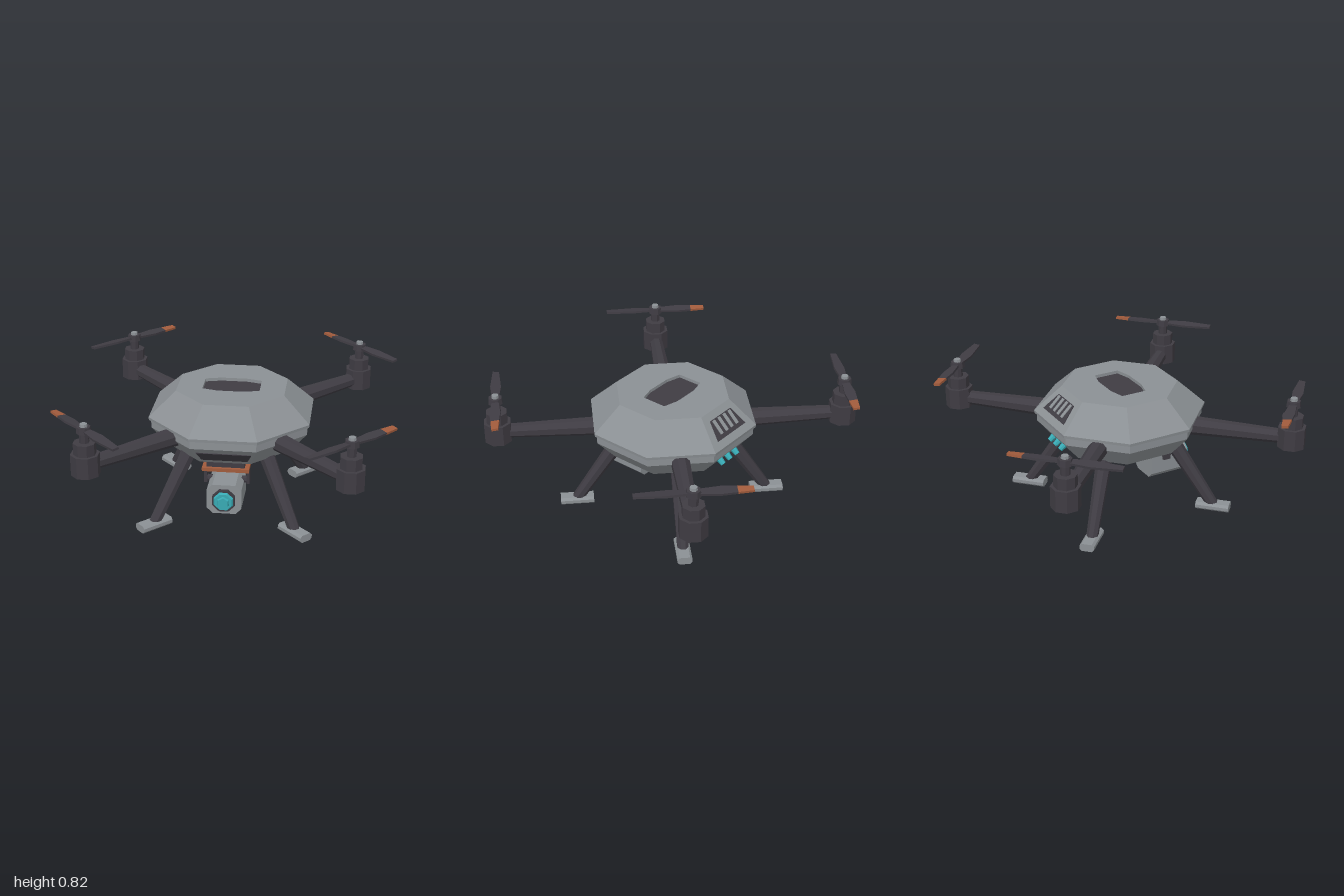
import * as THREE from 'three';

const paint = (name, color) => {
  const m = new THREE.MeshStandardMaterial({ color, flatShading: true });
  m.name = name;
  return m;
};

export function createModel() {
  const grey = paint('shell grey', 0x8b9094);
  const dark = paint('charcoal', 0x3f3c43);
  const orange = paint('copper orange', 0xa15b3c);
  const teal = paint('lens teal', 0x38aab4);

  const model = new THREE.Group();
  model.name = 'quadcopter';

  const add = (name, geo, mat, x = 0, y = 0, z = 0, parent = model) => {
    const m = new THREE.Mesh(geo, mat);
    m.name = name;
    m.position.set(x, y, z);
    parent.add(m);
    return m;
  };
  const group = (name, x, y, z, parent = model) => {
    const g = new THREE.Group();
    g.name = name;
    g.position.set(x, y, z);
    parent.add(g);
    return g;
  };
  const K = Math.cos(Math.PI / 8);
  // Octagonal frustum measured across its flats, from y0 to y1
  const octa = (a0, y0, a1, y1, open = false) =>
    new THREE.CylinderGeometry(a1 / K, a0 / K, y1 - y0, 8, 1, open)
      .rotateY(Math.PI / 8).translate(0, (y0 + y1) / 2, 0);
  const shapeOf = pts => new THREE.Shape(pts.map(p => new THREE.Vector2(p[0], p[1])));
  const extrude = (shape, depth) => new THREE.ExtrudeGeometry(shape, { depth, bevelEnabled: false });
  // Bar with chamfered corners, lying along z and centred
  const chamferBar = (w, h, c, len) => {
    const x = w / 2, y = h / 2;
    return extrude(shapeOf([[c - x, -y], [x - c, -y], [x, c - y], [x, y - c],
      [x - c, y], [c - x, y], [-x, y - c], [-x, c - y]]), len).translate(0, 0, -len / 2);
  };
  // Tapered eight-sided strut from a to b
  const strut = (name, a, b, r0, r1) => {
    const d = new THREE.Vector3().subVectors(b, a);
    const geo = new THREE.CylinderGeometry(r1, r0, d.length(), 8)
      .rotateY(Math.PI / 8).rotateX(Math.PI / 2).translate(0, 0, d.length() / 2);
    add(name, geo, dark, a.x, a.y, a.z).lookAt(b);
  };
  // Group lying on a sloped face, local z pointing outward
  const onFace = (name, y, z, ny, nz) => {
    const g = group(name, 0, y, z);
    g.lookAt(0, y + ny, z + nz);
    return g;
  };

  // Body shells
  add('upperShell', octa(0.49, 0.63, 0.33, 0.785, true), grey);
  add('shellLip', octa(0.488, 0.612, 0.49, 0.63), grey);
  add('lowerBand', octa(0.475, 0.56, 0.475, 0.615), grey);
  add('lowerShell', octa(0.37, 0.43, 0.475, 0.56), grey);
  add('bellyPlate', octa(0.28, 0.415, 0.29, 0.432), grey);

  // Top cap with recessed hatch
  const hatch = [[-0.175, -0.08], [-0.08, -0.105], [0.08, -0.105], [0.175, -0.08],
    [0.175, 0.08], [0.08, 0.105], [-0.08, 0.105], [-0.175, 0.08]];
  const cap = shapeOf(Array.from({ length: 8 }, (_, i) => {
    const t = (i + 0.5) * Math.PI / 4;
    return [Math.cos(t) * 0.33 / K, Math.sin(t) * 0.33 / K];
  }));
  cap.holes.push(new THREE.Path(hatch.map(p => new THREE.Vector2(p[0], p[1]))));
  add('topCap', extrude(cap, 0.022).rotateX(-Math.PI / 2), grey, 0, 0.763, 0);
  add('hatchFloor', new THREE.ShapeGeometry(shapeOf(hatch.map(p => [p[0] * 1.05, p[1] * 1.05])))
    .rotateX(-Math.PI / 2), dark, 0, 0.765, 0);

  // Rear vent with slats
  const vent = onFace('rearVent', 0.7075, -0.41, 0.16, -0.155);
  add('ventOpening', extrude(shapeOf([[-0.135, -0.063], [0.135, -0.063], [0.098, 0.063], [-0.098, 0.063]]), 0.005),
    dark, 0, 0, 0, vent);
  for (const x of [-0.075, -0.025, 0.025, 0.075])
    add('ventSlat', new THREE.BoxGeometry(0.024, 0.095, 0.008), grey, x, 0.01, 0.005, vent);

  // Front air slot
  const slot = onFace('frontSlot', 0.4925, 0.4205, -0.81, 1);
  add('slotOpening', extrude(shapeOf([[-0.138, -0.042], [0.138, -0.042], [0.165, 0.042], [-0.165, 0.042]]), 0.005),
    dark, 0, 0, 0, slot);

  // Rear status lights
  const lights = onFace('statusLights', 0.495, -0.4225, -0.81, -1);
  for (const x of [-0.07, 0, 0.07])
    add('statusLight', new THREE.CylinderGeometry(0.016, 0.021, 0.045, 8).rotateX(Math.PI / 2), teal, x, 0, 0.016, lights);

  // Propeller blade outline along +x, cut between two stations
  const halfWidth = x => x < 0.15 ? 0.02 + (x - 0.02) * 0.1 : 0.033 - (x - 0.15) * 0.075;
  const blade = (x0, x1) => {
    const xs = [x0, ...[0.15, 0.24].filter(x => x > x0 && x < x1), x1];
    const pts = [...xs.map(x => [x, -halfWidth(x)]), ...xs.reverse().map(x => [x, halfWidth(x)])];
    return extrude(shapeOf(pts), 0.014).translate(0, 0, -0.007).rotateX(-Math.PI / 2 + 0.12);
  };

  for (const sx of [-1, 1]) for (const sz of [-1, 1]) {
    const at = (r, y) => new THREE.Vector3(sx * r, y, sz * r);

    // Arm, motor and propeller
    strut('arm', at(0.28, 0.56), at(0.75, 0.563), 0.06, 0.042);
    const motor = group('motor', sx * 0.757, 0, sz * 0.757);
    add('motorBase', octa(0.08, 0.505, 0.08, 0.635), dark, 0, 0, 0, motor);
    add('motorTop', octa(0.062, 0.635, 0.062, 0.705), dark, 0, 0, 0, motor);
    add('shaft', octa(0.027, 0.7, 0.027, 0.77), dark, 0, 0, 0, motor);
    const prop = group('propeller', 0, 0.783, 0, motor);
    prop.rotation.y = Math.atan2(1, sx * sz);
    add('hub', octa(0.042, -0.018, 0.038, 0.02), dark, 0, 0, 0, prop);
    add('hubCap', octa(0.022, 0.018, 0.02, 0.037), grey, 0, 0, 0, prop);
    add('bladeRoot', blade(0.02, 0.24), dark, 0, 0, 0, prop);
    add('bladeTip', blade(0.24, 0.33), orange, 0, 0, 0, prop);
    add('plainBlade', blade(0.02, 0.33), dark, 0, 0, 0, prop).rotation.y = Math.PI;

    // Leg and foot
    strut('leg', at(0.225, 0.46), at(0.428, 0.03), 0.05, 0.036);
    add('foot', chamferBar(0.09, 0.048, 0.014, 0.21), grey, sx * 0.43, 0.024, sz * 0.43)
      .rotation.y = sx * sz * Math.PI / 4;
  }

  // Gimbal mount
  const gimbal = group('gimbal', 0, 0, 0);
  add('mountBlock', new THREE.BoxGeometry(0.23, 0.06, 0.13), dark, 0, 0.412, 0.28, gimbal);
  add('mountPlate', new THREE.BoxGeometry(0.285, 0.022, 0.16), orange, 0, 0.376, 0.285, gimbal);
  for (const s of [-1, 1]) {
    add('yokeArm', new THREE.BoxGeometry(0.02, 0.115, 0.05), dark, s * 0.13, 0.312, 0.265, gimbal);
    add('yokePivot', new THREE.CylinderGeometry(0.022, 0.022, 0.04, 8).rotateZ(Math.PI / 2),
      dark, s * 0.11, 0.275, 0.265, gimbal);
  }

  // Camera
  const camera = group('camera', 0, 0.215, 0, gimbal);
  add('cameraBody', chamferBar(0.21, 0.19, 0.035, 0.26), grey, 0, 0, 0.302, camera);
  const ring = (a, z0, z1) => octa(a, z0, z1 > 0.47 ? a * 0.85 : a, z1).rotateX(Math.PI / 2);
  add('lensRing', ring(0.068, 0.43, 0.458), dark, 0, 0, 0, camera);
  add('lens', ring(0.06, 0.455, 0.473), teal, 0, 0, 0, camera);
  add('lensCentre', new THREE.CylinderGeometry(0.034, 0.04, 0.014, 6).rotateX(Math.PI / 2), teal, 0, 0, 0.479, camera);

  return model;
}
